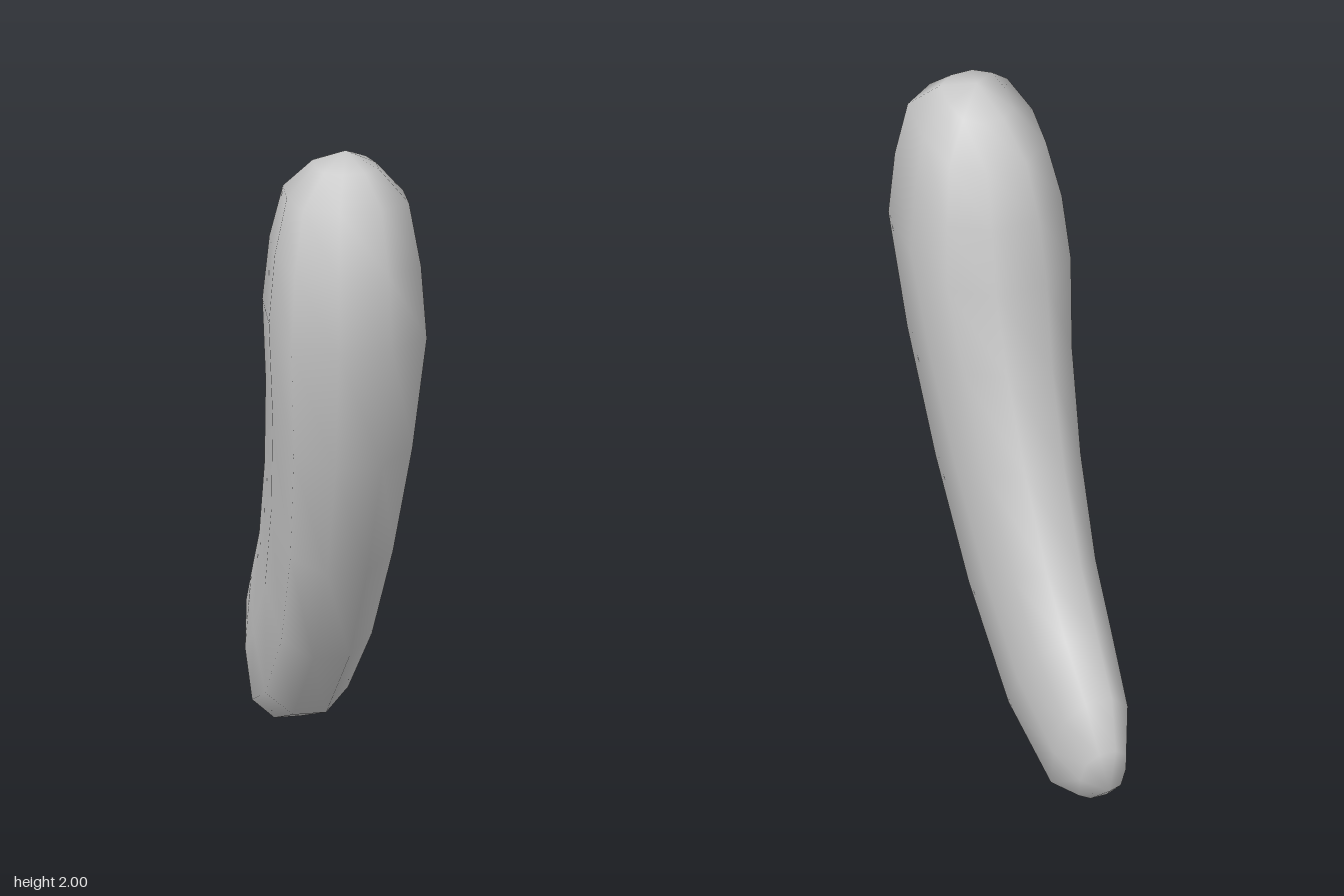
import * as THREE from 'three';

// Cross-sections from top to bottom: front z, front y, back z, back y, half width
const RINGS = [
  [0.47, 1.965, 0.24, 1.945, 0.09],
  [0.56, 1.88, 0.14, 1.845, 0.172],
  [0.60, 1.69, 0.075, 1.68, 0.205],
  [0.625, 1.47, 0.03, 1.48, 0.22],
  [0.54, 1.09, -0.03, 1.23, 0.193],
  [0.38, 0.71, -0.14, 0.95, 0.167],
  [0.17, 0.38, -0.28, 0.69, 0.147],
  [-0.12, 0.11, -0.41, 0.53, 0.135],
  [-0.41, 0.0, -0.54, 0.39, 0.113],
  [-0.54, 0.05, -0.605, 0.25, 0.072],
];
const TOP = [0, 2.0, 0.36];
const BOTTOM = [0, 0.125, -0.622];

// Half outline of a section: width factor, position from back (0) to front (1)
const HALF = [[0.36, 1], [0.91, 0.86], [1, 0.5], [0.88, 0.15], [0.36, 0]];
const OUTLINE = [...HALF, ...HALF.map(([w, t]) => [-w, t]).reverse()];

function bodyGeometry() {
  const n = OUTLINE.length;
  const positions = [...TOP];
  for (const [fz, fy, bz, by, width] of RINGS) {
    for (const [w, t] of OUTLINE) {
      positions.push(w * width, by + (fy - by) * t, bz + (fz - bz) * t);
    }
  }
  positions.push(...BOTTOM);

  const at = (ring, j) => 1 + ring * n + (j % n);
  const last = RINGS.length - 1;
  const end = 1 + RINGS.length * n;
  const index = [];
  for (let j = 0; j < n; j++) {
    // end caps
    index.push(0, at(0, j), at(0, j + 1));
    index.push(at(last, j), end, at(last, j + 1));
    // wall between neighbouring sections
    for (let i = 0; i < last; i++) {
      const a = at(i, j), b = at(i, j + 1), c = at(i + 1, j), d = at(i + 1, j + 1);
      index.push(a, c, d, a, d, b);
    }
  }
  const geometry = new THREE.BufferGeometry();
  geometry.setAttribute('position', new THREE.Float32BufferAttribute(positions, 3));
  geometry.setIndex(index);
  geometry.computeVertexNormals();
  return geometry;
}

export function createModel() {
  const model = new THREE.Group();
  model.name = 'curvedPod';
  const body = new THREE.Mesh(bodyGeometry(), new THREE.MeshStandardMaterial({ color: 0xcccccc }));
  body.name = 'body';
  model.add(body);
  return model;
}
